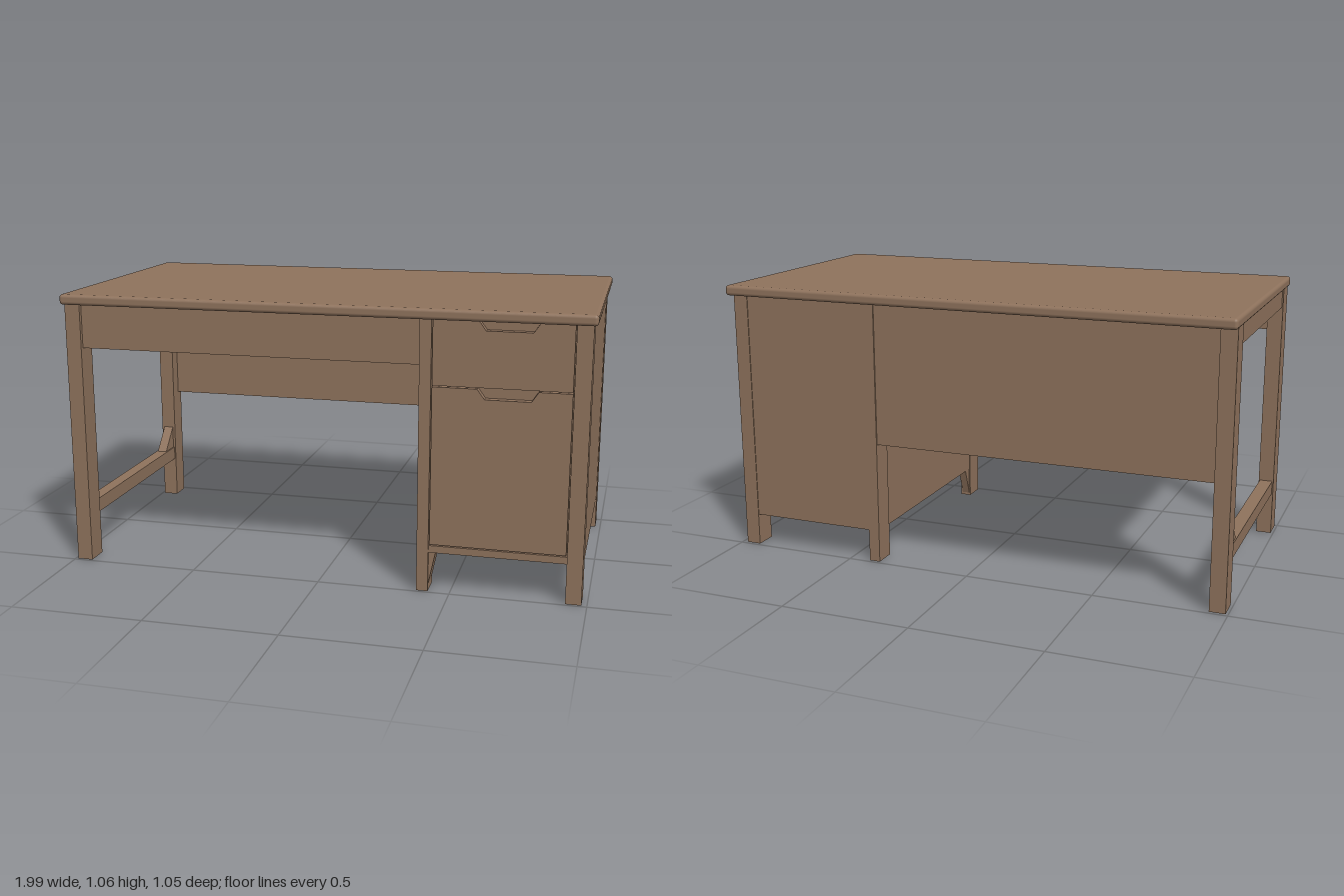
import * as THREE from 'three';
import { RoundedBoxGeometry } from 'three/addons/geometries/RoundedBoxGeometry.js';

export function createModel() {
  const desk = new THREE.Group();
  desk.name = 'desk';
  const wood = new THREE.MeshStandardMaterial({ color: 0x8e725c });
  wood.name = 'brown wood';

  const add = (name, geometry) => {
    const mesh = new THREE.Mesh(geometry, wood);
    mesh.name = name;
    desk.add(mesh);
    return mesh;
  };
  // Box given by its limits on each axis
  const box = (name, x0, x1, y0, y1, z0, z1) => {
    const g = new THREE.BoxGeometry(x1 - x0, y1 - y0, z1 - z0);
    g.translate((x0 + x1) / 2, (y0 + y1) / 2, (z0 + z1) / 2);
    return add(name, g);
  };
  // Flat outline in x and y, extruded along z
  const plate = (name, points, z0, z1) => {
    const shape = new THREE.Shape(points.map(([x, y]) => new THREE.Vector2(x, y)));
    const g = new THREE.ExtrudeGeometry(shape, { depth: z1 - z0, bevelEnabled: false });
    g.translate(0, 0, z0);
    return add(name, g);
  };

  // Table top with softened edges
  const top = add('tableTop', new RoundedBoxGeometry(1.99, 0.04, 1.05, 3, 0.013));
  top.position.y = 1.04;

  // Legs: the open side and the two sides of the cabinet
  for (const [side, x0, x1] of [['right', -0.99, -0.93], ['inner', 0.375, 0.418], ['left', 0.922, 0.98]]) {
    box(side + 'FrontLeg', x0, x1, 0, 1.03, 0.4, 0.49);
    box(side + 'BackLeg', x0, x1, 0, 1.03, -0.487, -0.4);
  }

  // Open side: low stretcher, top rail and corner brace
  box('stretcher', -0.985, -0.935, 0.17, 0.225, -0.41, 0.41);
  box('sideTopRail', -0.985, -0.935, 0.95, 1.025, -0.41, 0.41);
  const brace = plate('stretcherBrace', [[0.39, 0.2], [0.41, 0.33], [0.41, 0.2], [0.29, 0.2]].slice(1), -0.98, -0.94);
  brace.rotation.y = Math.PI / 2;

  // Boards between the open side and the cabinet
  box('frontApron', -0.94, 0.38, 0.85, 1.025, 0.45, 0.475);
  box('backPanel', -0.94, 0.38, 0.475, 1.025, -0.482, -0.455);

  // Cabinet shell with a raised floor
  box('cabinetOuterSide', 0.94, 0.977, 0.125, 1.025, -0.42, 0.42);
  box('cabinetInnerSide', 0.378, 0.41, 0.125, 1.025, -0.42, 0.42);
  box('cabinetBack', 0.4, 0.94, 0.125, 1.025, -0.484, -0.455);
  box('cabinetFloor', 0.4, 0.95, 0.2, 0.22, -0.46, 0.46);
  box('cabinetFrontBoard', 0.4, 0.95, 0.17, 1.025, 0.43, 0.455);
  box('cabinetBottomRail', 0.41, 0.93, 0.15, 0.177, 0.43, 0.485);

  // Drawer and door fronts, each with a finger notch in its top edge
  const notchedFront = (name, y0, y1) => plate(name, [
    [0.421, y0], [0.918, y0], [0.918, y1], [0.8, y1], [0.775, y1 - 0.037],
    [0.61, y1 - 0.037], [0.583, y1], [0.421, y1],
  ], 0.45, 0.484);
  notchedFront('drawerFront', 0.779, 1.02);
  notchedFront('doorFront', 0.181, 0.774);

  // Tapered foot brackets at the inner front leg
  plate('footBracketFront', [[0.415, 0.01], [0.445, 0.155], [0.415, 0.155]], 0.41, 0.48);
  const bracket = plate('footBracketSide', [[-0.402, 0.005], [-0.402, 0.13], [-0.358, 0.13]], 0.38, 0.412);
  bracket.rotation.y = Math.PI / 2;

  return desk;
}
